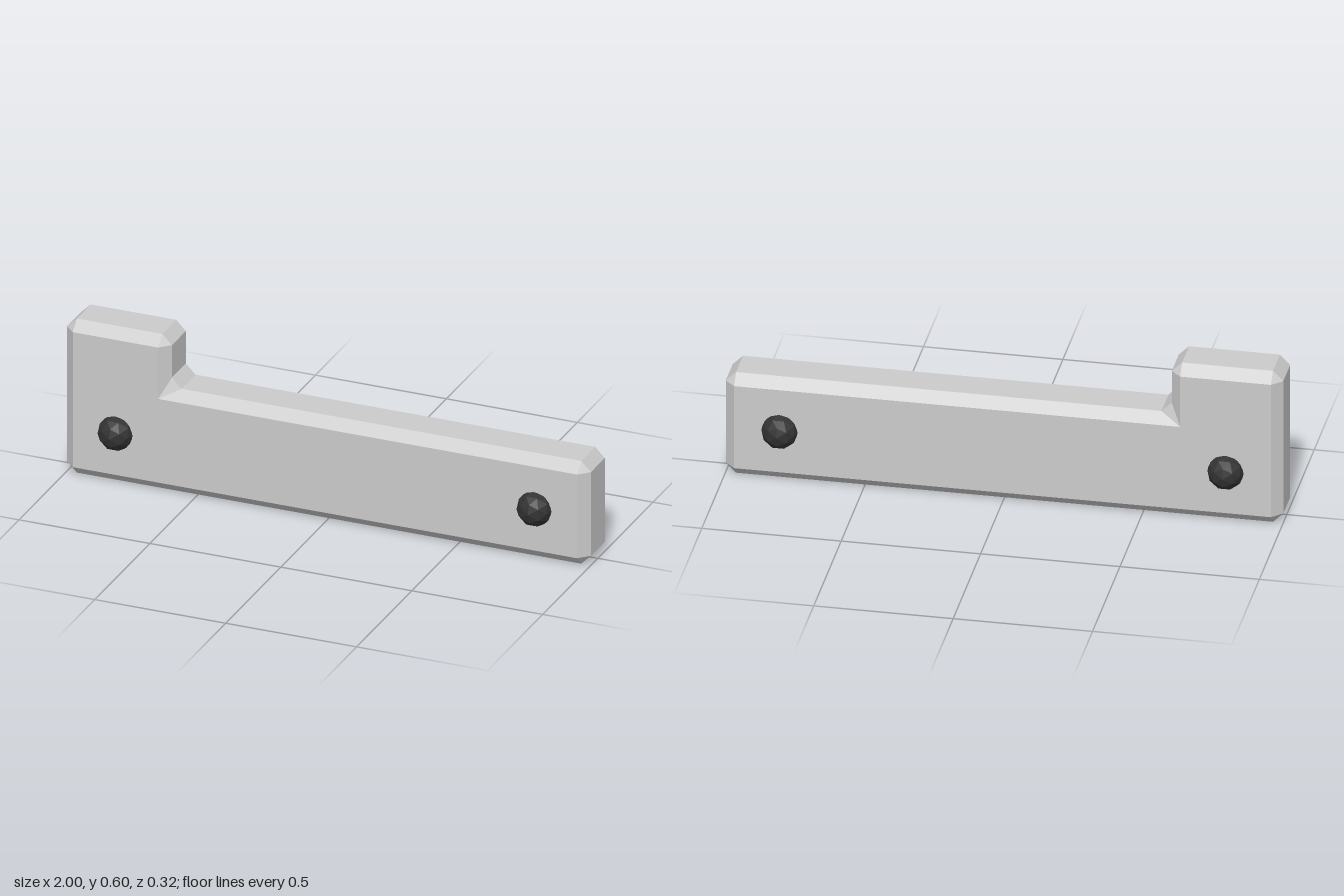
import * as THREE from 'three';

const grey = new THREE.MeshStandardMaterial({ color: 0xcccccc, flatShading: true });
const dark = new THREE.MeshStandardMaterial({ color: 0x333333, flatShading: true });

// L-shaped bar: flat faces, chamfered edges and cut corners.
function chamferedBar(outline, c, halfDepth) {
  const n = outline.length;
  const inner = [], outer = [];
  outline.forEach(([x, y], i) => {
    const [px, py] = outline[(i + n - 1) % n];
    const [qx, qy] = outline[(i + 1) % n];
    const a = [Math.sign(x - px), Math.sign(y - py)]; // incoming direction
    const b = [Math.sign(qx - x), Math.sign(qy - y)]; // outgoing direction
    const turn = a[0] * b[1] - a[1] * b[0];
    const mx = x + c * (b[0] - a[0]) * turn, my = y + c * (b[1] - a[1]) * turn;
    inner.push([mx, my]);
    // a corner is cut by the chamfer width along both of its edges
    outer.push([x - a[0] * c, y - a[1] * c], [x + b[0] * c, y + b[1] * c]);
  });

  const doubled = inner.flatMap((p) => [p, p]);
  const rings = [
    [doubled, halfDepth], [outer, halfDepth - c],
    [outer, c - halfDepth], [doubled, -halfDepth],
  ].map(([ring, z]) => ring.map(([x, y]) => new THREE.Vector3(x, y, z)));

  const pos = [];
  const tri = (p, q, r) => {
    const area = q.clone().sub(p).cross(r.clone().sub(p)).length();
    if (area > 1e-7) for (const v of [p, q, r]) pos.push(v.x, v.y, v.z);
  };
  // chamfers and side walls
  for (let k = 0; k < 3; k++) {
    for (let i = 0; i < 2 * n; i++) {
      const j = (i + 1) % (2 * n);
      const [f, g] = [rings[k], rings[k + 1]];
      tri(f[i], g[i], g[j]);
      tri(f[i], g[j], f[j]);
    }
  }
  // front and back faces
  const flat = inner.map(([x, y]) => new THREE.Vector2(x, y));
  for (const [p, q, r] of THREE.ShapeUtils.triangulateShape(flat, [])) {
    tri(rings[0][2 * p], rings[0][2 * q], rings[0][2 * r]);
    tri(rings[3][2 * p], rings[3][2 * r], rings[3][2 * q]);
  }
  const geo = new THREE.BufferGeometry();
  geo.setAttribute('position', new THREE.Float32BufferAttribute(pos, 3));
  geo.computeVertexNormals();
  return geo;
}

export function createModel() {
  const group = new THREE.Group();

  const outline = [[-1, 0], [1, 0], [1, 0.4], [-0.6, 0.4], [-0.6, 0.6], [-1, 0.6]];
  const bar = new THREE.Mesh(chamferedBar(outline, 0.037, 0.1), grey);
  bar.name = 'bar';
  group.add(bar);

  // Round studs at both ends, front and back
  const studGeo = new THREE.IcosahedronGeometry(0.067, 1);
  for (const x of [-0.8, 0.8]) {
    for (const z of [-0.092, 0.092]) {
      const stud = new THREE.Mesh(studGeo, dark);
      stud.name = (z > 0 ? 'front' : 'back') + (x > 0 ? 'Left' : 'Right') + 'Stud';
      stud.position.set(x, 0.2, z);
      group.add(stud);
    }
  }
  return group;
}
